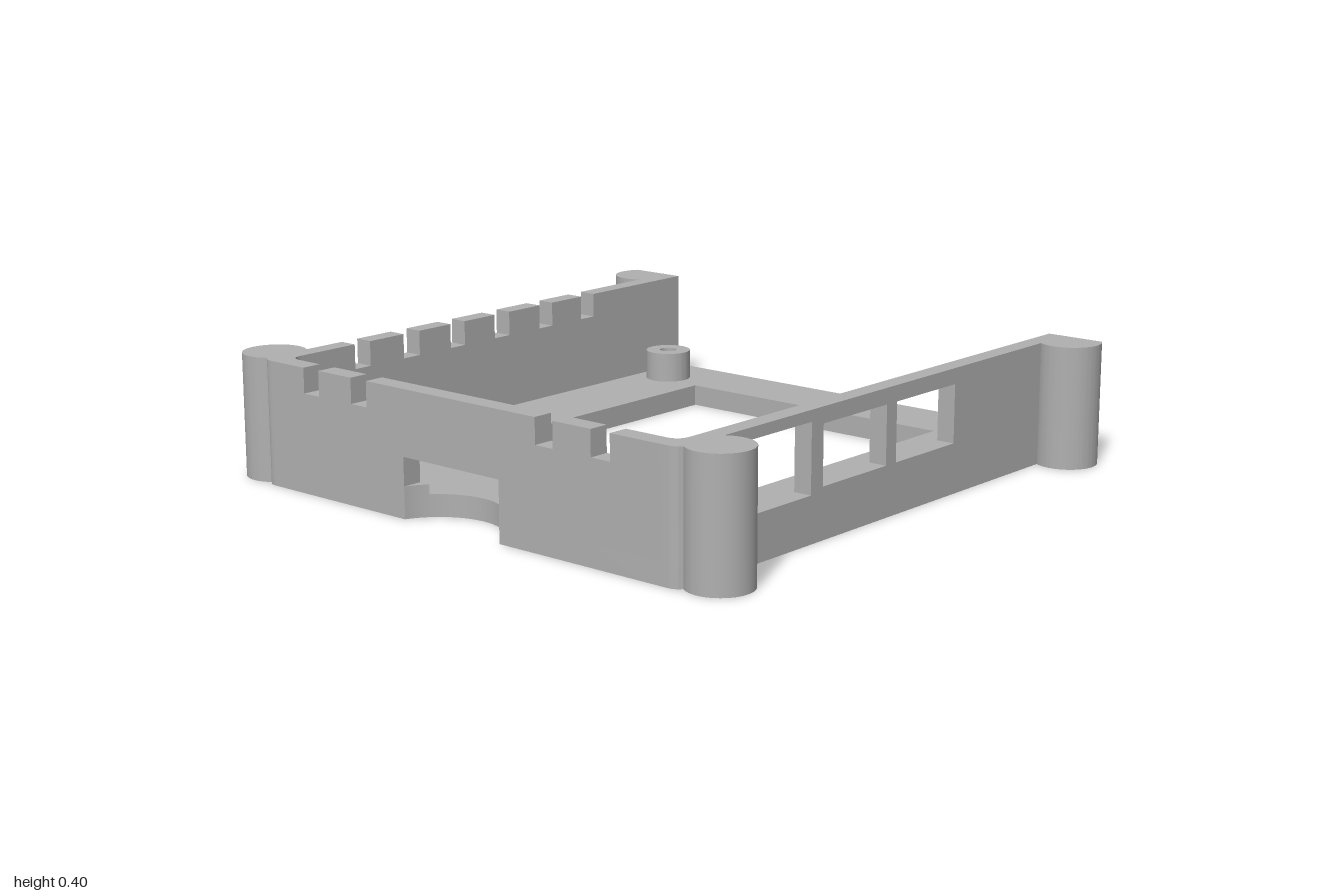
import * as THREE from 'three';
import { toCreasedNormals } from 'three/addons/utils/BufferGeometryUtils.js';

const FLOOR = 0.07, TOP = 0.395, SLOT = 0.315;
const OUT_X = 0.845, IN_X = 0.785, OUT_Z = 0.95, IN_Z = 0.885;

// Card opening: a round bite centred on (CX, CZ)
const CX = -0.025, CZ = 1.023, R = 0.208, HALF = 0.195;
const A_OUT = Math.asin((CZ - OUT_Z) / R), A_IN = Math.asin((CZ - IN_Z) / R);

function polygon(points) {
  return new THREE.Shape(points.map(([x, y]) => new THREE.Vector2(x, y)));
}

function rect(x0, y0, x1, y1) {
  return polygon([[x0, y0], [x1, y0], [x1, y1], [x0, y1]]);
}

function extrude(shape, depth) {
  return new THREE.ExtrudeGeometry(shape, { depth, bevelEnabled: false, curveSegments: 32 });
}

// Plan shape (x, z) raised from y0 to y1
function raise(shape, y0, y1) {
  return extrude(shape, y1 - y0).rotateX(Math.PI / 2).translate(0, y1, 0);
}

// Wall outline from a to b with slots cut into its upper edge
function slottedWall(a, b, slots) {
  const pts = [[a, FLOOR], [b, FLOOR], [b, TOP]];
  for (const [s0, s1] of [...slots].reverse()) {
    pts.push([s1, TOP], [s1, SLOT], [s0, SLOT], [s0, TOP]);
  }
  pts.push([a, TOP]);
  return pts;
}

export function createModel() {
  const group = new THREE.Group();
  group.name = 'boardCase';
  const grey = new THREE.MeshStandardMaterial({ color: 0xb0b0b0 });
  grey.name = 'grey';

  function add(name, geometry) {
    const mesh = new THREE.Mesh(toCreasedNormals(geometry, 0.6), grey);
    mesh.name = name;
    group.add(mesh);
  }

  // Floor frame with the large opening and the card bite
  const floor = new THREE.Shape();
  floor.moveTo(-OUT_X, -OUT_Z);
  floor.lineTo(OUT_X, -OUT_Z);
  floor.lineTo(OUT_X, 0.9);
  floor.quadraticCurveTo(OUT_X, OUT_Z, 0.795, OUT_Z);
  floor.lineTo(CX + HALF, OUT_Z);
  floor.absarc(CX, CZ, R, -A_OUT, -Math.PI + A_OUT, true);
  floor.lineTo(-0.795, OUT_Z);
  floor.quadraticCurveTo(-OUT_X, OUT_Z, -OUT_X, 0.9);
  floor.closePath();
  floor.holes.push(rect(-0.51, -0.72, 0.505, 0.61));
  add('floor', raise(floor, 0, FLOOR));

  // Left wall with three port windows
  const left = rect(-OUT_Z, FLOOR, 0.84, TOP);
  for (const [z0, y0, z1, y1] of [
    [0.38, 0.145, 0.735, 0.36], [0.02, 0.16, 0.325, 0.345], [-0.33, 0.16, -0.03, 0.345],
  ]) left.holes.push(rect(z0, y0, z1, y1));
  add('leftWall', extrude(left, OUT_X - IN_X).rotateY(-Math.PI / 2).translate(OUT_X, 0, 0));

  // Right wall with a row of vent slots
  const right = polygon(slottedWall(-OUT_Z, 0.84, [
    [-0.495, -0.43], [-0.285, -0.222], [-0.075, -0.005], [0.135, 0.2], [0.34, 0.41], [0.555, 0.62],
  ]));
  add('rightWall', extrude(right, OUT_X - IN_X).rotateY(-Math.PI / 2).translate(-IN_X, 0, 0));

  // Front wall with vent slots and the card opening
  const [, ...rest] = slottedWall(-0.74, 0.74, [
    [-0.65, -0.583], [-0.44, -0.373], [0.315, 0.382], [0.525, 0.595],
  ]);
  const front = polygon([
    [-0.74, FLOOR], [CX - HALF, FLOOR], [CX - HALF, 0.19], [CX + HALF, 0.19], [CX + HALF, FLOOR], ...rest,
  ]);
  add('frontWall', extrude(front, OUT_Z - IN_Z).translate(0, 0, IN_Z));

  // Small curved sills at either end of the card opening
  for (const s of [1, -1]) {
    const sill = new THREE.Shape();
    sill.moveTo(CX + s * HALF, IN_Z);
    sill.lineTo(CX + s * HALF, OUT_Z);
    if (s > 0) sill.absarc(CX, CZ, R, -A_OUT, -A_IN, true);
    else sill.absarc(CX, CZ, R, Math.PI + A_OUT, Math.PI + A_IN, false);
    sill.closePath();
    add(s > 0 ? 'leftSill' : 'rightSill', raise(sill, FLOOR, 0.1));
  }

  for (const s of [1, -1]) {
    const side = s > 0 ? 'left' : 'right';

    // Rounded corner joining the front and side walls
    const corner = new THREE.Shape();
    corner.moveTo(s * OUT_X, 0.84);
    corner.lineTo(s * OUT_X, 0.9);
    corner.quadraticCurveTo(s * OUT_X, OUT_Z, s * 0.795, OUT_Z);
    corner.lineTo(s * 0.74, OUT_Z);
    corner.lineTo(s * 0.74, IN_Z);
    corner.quadraticCurveTo(s * IN_X, IN_Z, s * IN_X, 0.84);
    corner.closePath();
    add(side + 'Corner', raise(corner, FLOOR, TOP));

    // Corner pillars: round in front, cut flat at the back
    const pillar = new THREE.Shape();
    pillar.absarc(s * 0.9, 0.85, 0.1, 0, Math.PI * 2, false);
    add(side + 'FrontPillar', raise(pillar, 0, TOP));
    const cut = Math.asin(0.6);
    const back = new THREE.Shape();
    back.absarc(s * 0.9, -0.89, 0.1, -cut, Math.PI + cut, false);
    back.closePath();
    add(side + 'BackPillar', raise(back, 0, TOP));
  }

  // Hollow screw posts
  for (const x of [-0.67, 0.61]) {
    for (const z of [-0.76, 0.755]) {
      const post = new THREE.Shape();
      post.absarc(x, z, 0.077, 0, Math.PI * 2, false);
      const hole = new THREE.Path();
      hole.absarc(x, z, 0.029, 0, Math.PI * 2, true);
      post.holes.push(hole);
      add('screwPost', raise(post, FLOOR, 0.17));
    }
  }

  return group;
}
